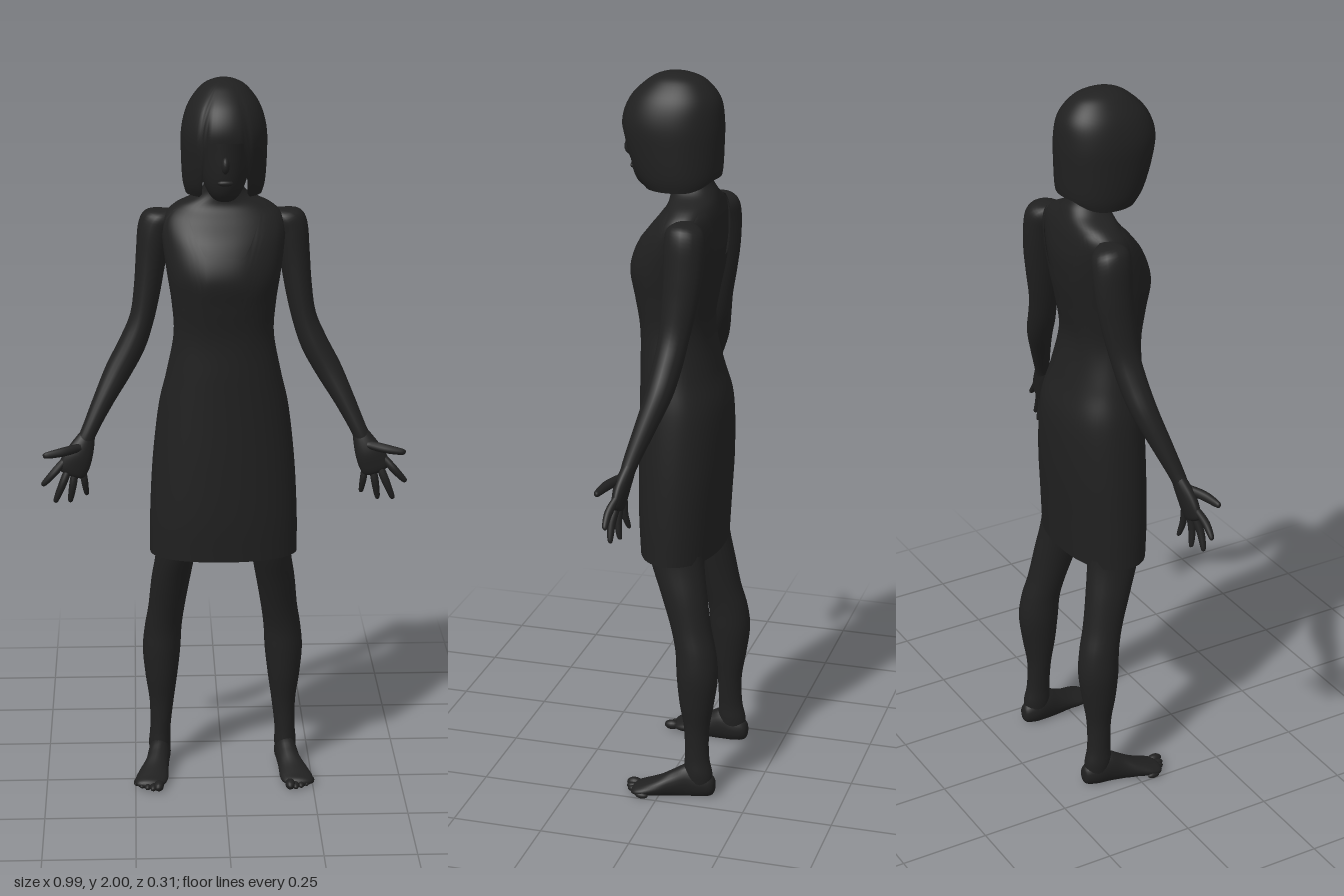
import * as THREE from 'three';

const charcoal = new THREE.MeshStandardMaterial({ color: 0x202020, side: THREE.DoubleSide });
charcoal.name = 'charcoal';
const V = (x, y, z) => new THREE.Vector3(x, y, z);
const step = THREE.MathUtils.smoothstep;

// Smooth skin over elliptical sections [x, y, z, radiusU, radiusV].
// t0 / t1 give the first and last section for each angle, so edges can be cut in curves.
function loft(name, rows, o = {}) {
  const { u = V(1, 0, 0), v = V(0, 0, 1), seg = 32, sub = 5, pow = 2, grow = 0 } = o;
  const last = rows.length - 1;
  const t0 = o.t0 || (() => 0), t1 = o.t1 || (() => last);
  const curve = (f) => new THREE.CatmullRomCurve3(rows.map(f), false, 'catmullrom', 0.5);
  const centre = curve((r) => V(r[0], r[1], r[2]));
  const radius = curve((r) => V(r[3], r[4], 0));
  const n = last * sub, pos = [], idx = [];
  const round = (a) => Math.sign(a) * Math.abs(a) ** (2 / pow);
  for (let i = 0; i <= n; i++) {
    for (let j = 0; j < seg; j++) {
      const a = (j / seg) * Math.PI * 2, c = Math.cos(a), s = Math.sin(a);
      const t = THREE.MathUtils.lerp(t0(c, s), t1(c, s), i / n) / last;
      const p = centre.getPoint(t), r = radius.getPoint(t);
      p.addScaledVector(u, (Math.max(r.x, 0) + grow) * round(c));
      p.addScaledVector(v, (Math.max(r.y, 0) + grow) * round(s));
      pos.push(p.x, Math.max(p.y, 0), p.z);
    }
  }
  const dir = centre.getPoint(1).sub(centre.getPoint(0));
  const out = u.clone().cross(v).dot(dir) > 0;
  for (let i = 0; i < n; i++) {
    for (let j = 0; j < seg; j++) {
      const k = (j + 1) % seg;
      const a = i * seg + j, b = i * seg + k, c = a + seg, d = b + seg;
      if (out) idx.push(a, b, c, b, d, c);
      else idx.push(a, c, b, b, c, d);
    }
  }
  const g = new THREE.BufferGeometry();
  g.setAttribute('position', new THREE.Float32BufferAttribute(pos, 3));
  g.setIndex(idx);
  g.computeVertexNormals();
  const m = new THREE.Mesh(g, charcoal);
  m.name = name;
  return m;
}

// Sections given as [y, halfWidth, frontZ, backZ]
const upright = (list) => list.map(([y, w, f, b]) => [0, y, (f + b) / 2, w, (f - b) / 2]);

// Tapered, slightly bent finger between two points
function finger(name, a, b, r) {
  const d = b.clone().sub(a), dir = d.clone().normalize();
  const u = V(0, 0, 1).cross(dir).normalize(), v = dir.clone().cross(u);
  const rows = [[0, 0.9], [0.3, 1], [0.55, 0.95], [0.85, 0.75], [0.97, 0.5], [1, 0]].map(([t, k]) => {
    const p = a.clone().addScaledVector(d, t);
    return [p.x, p.y, p.z + 0.006 * Math.sin(t * Math.PI), r * k, r * k];
  });
  return loft(name, rows, { u, v, seg: 10, sub: 3 });
}

function ball(name, p, s) {
  const m = new THREE.Mesh(new THREE.SphereGeometry(1, 14, 10), charcoal);
  m.name = name;
  m.position.set(...p);
  m.scale.set(...s);
  return m;
}

function arm() {
  const g = new THREE.Group();
  // Shoulder to wrist
  g.add(loft('armSkin', [
    [0.135, 1.635, -0.055, 0.01, 0.02], [0.165, 1.618, -0.06, 0.042, 0.048],
    [0.183, 1.58, -0.063, 0.048, 0.054], [0.195, 1.5, -0.062, 0.043, 0.052],
    [0.205, 1.42, -0.055, 0.038, 0.047], [0.22, 1.34, -0.045, 0.034, 0.041],
    [0.247, 1.27, -0.035, 0.037, 0.039], [0.285, 1.2, -0.022, 0.036, 0.036],
    [0.328, 1.12, 0.003, 0.028, 0.029], [0.365, 1.045, 0.027, 0.022, 0.022],
    [0.38, 1.01, 0.036, 0.024, 0.018],
  ], { u: V(0.9, 0.42, 0).normalize(), seg: 20 }));
  // Palm
  g.add(loft('palm', [
    [0.362, 1.055, 0.025, 0.012, 0.012], [0.374, 1.025, 0.033, 0.025, 0.019],
    [0.392, 0.985, 0.043, 0.037, 0.021], [0.408, 0.95, 0.047, 0.041, 0.017],
    [0.417, 0.93, 0.048, 0.034, 0.012], [0.42, 0.923, 0.048, 0, 0],
  ], { u: V(0.92, 0.38, 0).normalize(), seg: 20 }));
  // Thumb and fingers
  [
    ['thumb', V(0.39, 1.005, 0.05), V(0.49, 0.992, 0.085), 0.013],
    ['indexFinger', V(0.435, 0.965, 0.047), V(0.495, 0.9, 0.06), 0.011],
    ['middleFinger', V(0.42, 0.95, 0.046), V(0.461, 0.85, 0.056), 0.011],
    ['ringFinger', V(0.404, 0.942, 0.044), V(0.42, 0.846, 0.042), 0.0105],
    ['littleFinger', V(0.384, 0.94, 0.04), V(0.374, 0.862, 0.03), 0.0095],
  ].forEach((f) => g.add(finger(...f)));
  return g;
}

function leg() {
  const g = new THREE.Group();
  // Thigh to ankle
  g.add(loft('legSkin', [
    [0.1, 0.88, -0.018, 0.08, 0.09], [0.115, 0.78, -0.02, 0.068, 0.082],
    [0.13, 0.685, -0.028, 0.056, 0.075], [0.146, 0.59, -0.052, 0.054, 0.064],
    [0.158, 0.5, -0.075, 0.051, 0.056], [0.168, 0.43, -0.092, 0.052, 0.056],
    [0.173, 0.36, -0.098, 0.053, 0.057], [0.174, 0.28, -0.097, 0.045, 0.048],
    [0.174, 0.2, -0.097, 0.034, 0.035], [0.178, 0.12, -0.099, 0.029, 0.034],
    [0.18, 0.07, -0.103, 0.031, 0.04], [0.18, 0.03, -0.105, 0.028, 0.038],
  ], { seg: 24 }));
  // Foot, heel to ball
  g.add(loft('foot', [
    [0.178, 0.03, -0.153, 0, 0], [0.178, 0.032, -0.145, 0.02, 0.026],
    [0.179, 0.036, -0.115, 0.03, 0.04], [0.182, 0.042, -0.075, 0.031, 0.05],
    [0.188, 0.032, -0.035, 0.033, 0.04], [0.198, 0.023, 0.005, 0.041, 0.027],
    [0.206, 0.016, 0.045, 0.046, 0.018], [0.21, 0.013, 0.07, 0.034, 0.012],
    [0.21, 0.012, 0.08, 0, 0],
  ], { v: V(0, 1, 0), seg: 20 }));
  // Toes
  for (let i = 0; i < 5; i++) {
    const r = i === 0 ? 0.014 : 0.0105 - i * 0.0005;
    g.add(ball('toe', [0.185 + i * 0.0155, r, 0.08 - i * i * 0.0024], [r, r, 0.022 - i * 0.001]));
  }
  return g;
}

function pair(parent, make, name) {
  const left = make(), right = make();
  left.name = 'left' + name;
  right.name = 'right' + name;
  right.scale.x = -1;
  parent.add(left, right);
}

export function createModel() {
  const model = new THREE.Group();
  model.name = 'woman';

  // Torso with neck, and the dress as a shell just outside it
  const body = upright([
    [0.685, 0.198, 0.09, -0.12], [0.8, 0.197, 0.096, -0.127], [0.95, 0.189, 0.097, -0.136],
    [1.1, 0.172, 0.096, -0.133], [1.2, 0.15, 0.096, -0.106], [1.31, 0.13, 0.097, -0.084],
    [1.4, 0.135, 0.112, -0.096], [1.48, 0.147, 0.124, -0.112], [1.56, 0.158, 0.095, -0.121],
    [1.62, 0.16, 0.05, -0.117], [1.655, 0.13, 0.025, -0.11], [1.685, 0.07, 0.022, -0.1],
    [1.72, 0.049, 0.025, -0.085], [1.8, 0.047, 0.03, -0.07],
  ]);
  model.add(loft('torso', body, { t0: () => 2.5, pow: 2.2, seg: 48 }));
  const neckline = (c, s) => {
    const x = Math.abs(c), scoop = s > 0 ? 7.7 : 7.4;
    return scoop + (9.9 - scoop) * step(x, 0.25, 0.72) - 1.6 * step(x, 0.85, 1);
  };
  model.add(loft('dress', body, { t1: neckline, grow: 0.005, pow: 2.2, seg: 64 }));

  // Head and nose
  model.add(loft('head', upright([
    [1.682, 0, 0.075, 0.065], [1.688, 0.026, 0.098, 0.03], [1.71, 0.045, 0.12, 0],
    [1.75, 0.062, 0.133, -0.05], [1.82, 0.074, 0.138, -0.085], [1.89, 0.078, 0.138, -0.09],
    [1.94, 0.065, 0.11, -0.07], [1.97, 0, 0.02, 0.02],
  ])));
  model.add(ball('nose', [0, 1.79, 0.138], [0.011, 0.022, 0.016]));
  model.add(ball('lips', [0, 1.742, 0.128], [0.021, 0.008, 0.008]));

  // Bob haircut, cut away over the face
  const hairEdge = (c, s) => {
    const x = Math.abs(c);
    if (s > 0) return 0.1 + 2.6 * (1 - step(x, 0.38, 0.6));
    return 0.1 + 0.8 * (1 - step(x, 0.3, 1));
  };
  model.add(loft('hair', upright([
    [1.692, 0.1, 0.09, -0.095], [1.73, 0.109, 0.118, -0.11], [1.8, 0.113, 0.143, -0.115],
    [1.87, 0.112, 0.154, -0.116], [1.93, 0.095, 0.132, -0.106], [1.975, 0.062, 0.086, -0.07],
    [1.994, 0.03, 0.048, -0.028], [2, 0, 0.01, 0.01],
  ]), { t0: hairEdge, pow: 2.15, seg: 64 }));

  pair(model, arm, 'Arm');
  pair(model, leg, 'Leg');
  return model;
}
